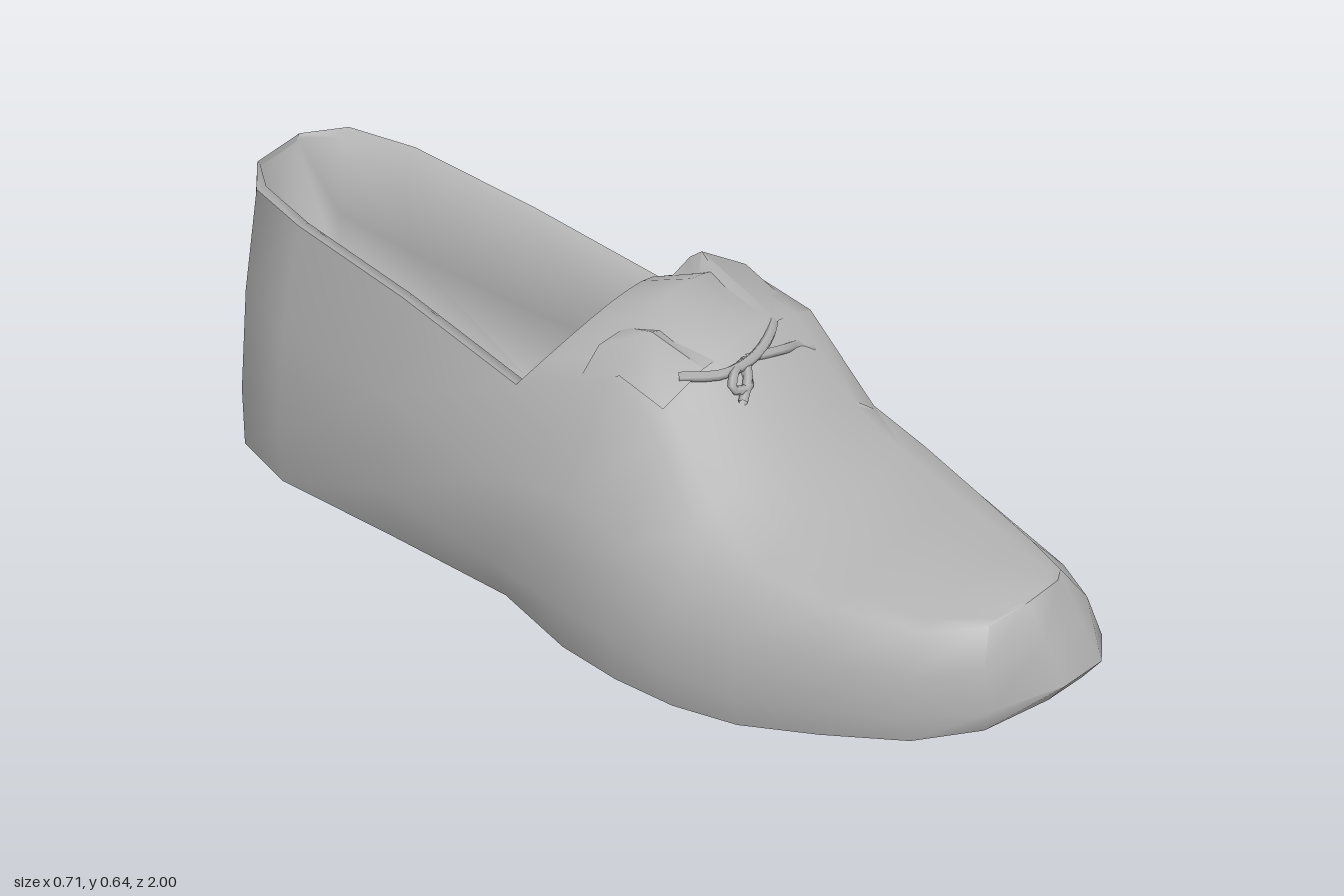
import * as THREE from 'three';
import { toCreasedNormals, mergeGeometries } from 'three/addons/utils/BufferGeometryUtils.js';

const leather = new THREE.MeshStandardMaterial({ color: 0xb2b2b2, side: THREE.DoubleSide });
leather.name = 'grey leather';

// Stations along the shoe:
// z, sole y, widest left-hand x, widest right-hand x, shoulder x pair, shoulder y pair, crown y, sole width factor
const heelStations = [
  [-1.0, 0.05, 0.0, 0.13, 0.0, 0.13, 0.575, 0.575, 0.575, 0.95],
  [-0.91, 0.025, -0.13, 0.25, -0.085, 0.2, 0.58, 0.58, 0.58, 0.95],
  [-0.78, 0.015, -0.185, 0.325, -0.12, 0.24, 0.565, 0.565, 0.565, 0.94],
  [-0.5, 0.005, -0.215, 0.31, -0.155, 0.255, 0.53, 0.53, 0.53, 0.88],
];
const vampStations = [
  [-0.2, 0.005, -0.27, 0.325, -0.185, 0.285, 0.465, 0.465, 0.6, 0.82],
  [0.0, 0.005, -0.335, 0.34, -0.155, 0.275, 0.54, 0.575, 0.64, 0.88],
  [0.15, 0.005, -0.348, 0.35, -0.19, 0.28, 0.475, 0.54, 0.585, 0.93],
  [0.3, 0.01, -0.355, 0.355, -0.26, 0.285, 0.36, 0.38, 0.455, 0.95],
  [0.45, 0.02, -0.345, 0.35, -0.26, 0.25, 0.33, 0.365, 0.375, 0.95],
  [0.62, 0.045, -0.305, 0.325, -0.25, 0.2, 0.31, 0.35, 0.363, 0.95],
  [0.8, 0.075, -0.25, 0.27, -0.205, 0.14, 0.305, 0.34, 0.35, 0.95],
  [0.93, 0.1, -0.16, 0.19, -0.12, 0.1, 0.315, 0.335, 0.343, 0.95],
  [1.0, 0.115, -0.01, 0.1, -0.03, 0.06, 0.335, 0.34, 0.3375, 0.95],
];
const stations = [...heelStations, ...vampStations];
const lerp = THREE.MathUtils.lerp;
const heelLean = [0, 0.008, 0.016, 0.025];
const toeLean = [-0.045, 0, -0.045, -0.075];

// Surface through rows of points
function grid(rows, closed = false) {
  const cols = rows[0].length, index = [];
  const last = closed ? cols : cols - 1;
  for (let i = 0; i < rows.length - 1; i++) {
    for (let j = 0; j < last; j++) {
      const k = (j + 1) % cols;
      const a = i * cols + j, b = a + cols, c = i * cols + k, d = c + cols;
      index.push(a, b, c, b, d, c);
    }
  }
  const g = new THREE.BufferGeometry();
  g.setAttribute('position', new THREE.Float32BufferAttribute(rows.flat(2), 3));
  g.setIndex(index);
  return g;
}

// Heel and toe ends lean inwards towards the top
function leanZ(z, level) {
  if (z === -1) return z + heelLean[level];
  if (z === 1) return z + toeLean[level];
  return z === 0.93 ? z + toeLean[level] * 0.4 : z;
}

// Point on the side wall; level 0 sole edge, 1 widest, 2 mid, 3 shoulder
function wallPoint(s, right, level) {
  const [z, yb, xl, xr, tl, tr, yl, yr, , sole] = s;
  const c = (xl + xr) / 2, w = right ? xr : xl, t = right ? tr : tl, yt = right ? yr : yl;
  const x = [lerp(c, w, sole), w, lerp(w, t, 0.26), t][level];
  return [x, lerp(yb, yt, [0, 0.23, 0.62, 1][level]), leanZ(z, level)];
}

function wallGeometry() {
  const rows = [3, 2, 1, 0].map((level) => [
    ...stations.map((s) => wallPoint(s, true, level)).reverse(),
    ...stations.map((s) => wallPoint(s, false, level)),
  ]);
  return grid(rows, true);
}

function vampGeometry() {
  const n = 10;
  return grid(vampStations.map((s, i) => Array.from({ length: n + 1 }, (_, j) => {
    const u = j / n, arch = j === 0 || j === n ? 0 : Math.sin(Math.PI * u);
    const y = lerp(s[6], s[7], u) + (s[8] - (s[6] + s[7]) / 2) * arch;
    return [lerp(s[4], s[5], u), y, leanZ(s[0], 3) + (i === 0 ? 0.09 * arch : 0)];
  })));
}

// Inside of the shoe: rounded rim, bowl-shaped lining and insole
function liningGeometry() {
  const floors = [0.56, 0.25, 0.17, 0.14];
  const rows = stations.slice(0, 8).map((s, i) => {
    const [, , , , tl, tr, yl, yr] = s;
    const z = leanZ(s[0], 3), inset = i === 0 ? 0.008 : 0.03;
    const cap = i < 4 ? 1 : 0.465;
    const left = Math.min(yl, cap), right = Math.min(yr, cap);
    const floor = floors[Math.min(i, 3)];
    const side = (x, dir, top) => [
      [x, top, z], [x + dir * inset, top - 0.008, z],
      [x + dir * inset * 0.9, lerp(floor, top, 0.45), z],
      [x + dir * inset * 1.1, lerp(floor, top, 0.08), z],
    ];
    return [...side(tl, 1, left), [(tl + tr) / 2, floor, z], ...side(tr, -1, right).reverse()];
  });
  return grid(rows);
}

function tube(points, radius) {
  const curve = new THREE.CatmullRomCurve3(points.map((p) => new THREE.Vector3(...p)));
  return new THREE.TubeGeometry(curve, 14, radius, 5, false);
}

export function createModel() {
  const shoe = new THREE.Group();
  shoe.name = 'shoe';
  const add = (name, geometry, crease = 1.0) => {
    const mesh = new THREE.Mesh(crease ? toCreasedNormals(geometry, crease) : geometry, leather);
    mesh.name = name;
    shoe.add(mesh);
  };

  // Outer body
  add('upper', mergeGeometries([wallGeometry(), vampGeometry()]));
  add('lining', liningGeometry(), 1.4);
  add('sole', grid(stations.map((s) => {
    const r = wallPoint(s, true, 0), l = wallPoint(s, false, 0);
    return [r, [(r[0] + l[0]) / 2, r[1], r[2]], l];
  })));

  // Turned-up eyelet flaps beside the tongue
  add('rightSideFlap', grid([
    [[-0.17, 0.5, -0.07], [-0.12, 0.58, -0.05], [-0.05, 0.59, -0.04]],
    [[-0.145, 0.55, 0.02], [-0.07, 0.62, 0.04], [-0.03, 0.6, 0.03]],
    [[-0.15, 0.52, 0.13], [-0.05, 0.57, 0.15], [0.0, 0.57, 0.15]],
  ]));
  add('leftSideFlap', grid([
    [[0.13, 0.59, -0.08], [0.2, 0.61, -0.08], [0.28, 0.54, -0.09]],
    [[0.12, 0.6, 0.0], [0.185, 0.645, -0.04], [0.27, 0.59, 0.0]],
    [[0.1, 0.57, 0.17], [0.17, 0.575, 0.16], [0.26, 0.54, 0.14]],
  ]));

  // Lace, knot and loose ends
  add('crossLace', tube([[-0.09, 0.56, 0.12], [-0.03, 0.56, 0.18], [0.06, 0.562, 0.19], [0.15, 0.57, 0.16], [0.21, 0.565, 0.1]], 0.011), 0);
  add('knot', tube([[0.03, 0.555, 0.18], [-0.02, 0.56, 0.2], [-0.035, 0.54, 0.21], [0.0, 0.53, 0.22], [0.03, 0.555, 0.18]], 0.01), 0);
  add('leftLaceEnd', tube([[0.04, 0.56, 0.18], [0.13, 0.545, 0.2], [0.19, 0.52, 0.19], [0.22, 0.5, 0.2]], 0.01), 0);
  add('rightLaceEnd', tube([[0.04, 0.56, 0.18], [0.01, 0.54, 0.21], [-0.03, 0.515, 0.23]], 0.01), 0);
  add('laceTip', grid([
    [[0.15, 0.445, 0.27], [0.18, 0.4, 0.31]],
    [[0.2, 0.44, 0.27], [0.27, 0.385, 0.31]],
  ]));
  return shoe;
}
